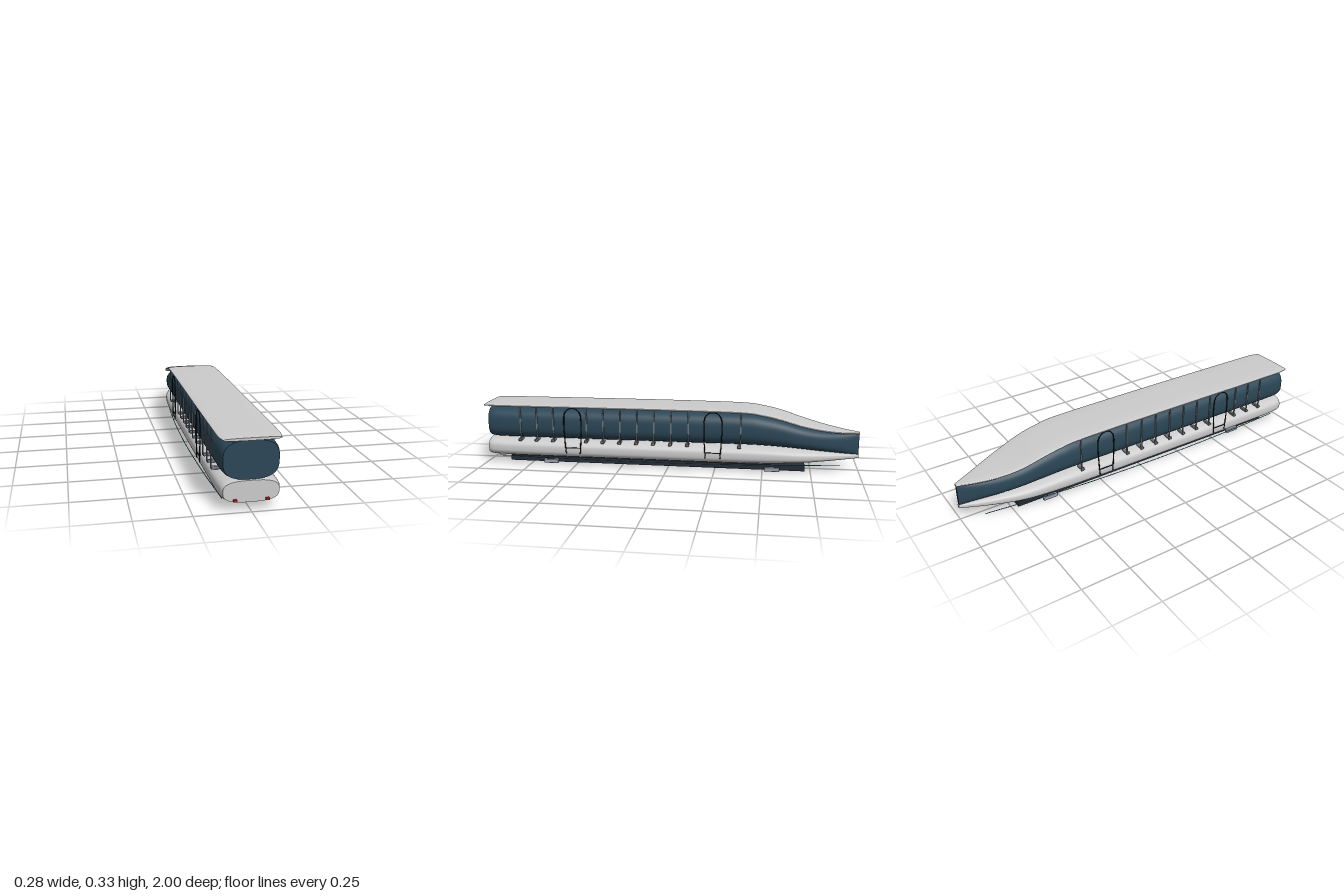
import * as THREE from 'three';
import { RoundedBoxGeometry } from 'three/addons/geometries/RoundedBoxGeometry.js';

const mat = (color, side = THREE.FrontSide) => new THREE.MeshStandardMaterial({ color, side });
const shell = mat(0xcccccc);
const glass = mat(0x2b4656);
const dark = mat(0x282d38);
const metal = mat(0x6f747b);
const black = mat(0x15181c);
const teal = mat(0x1f7f8c);
const red = mat(0xc0281c);
const skidGrey = mat(0x9aa0ac);

// Superellipse loft along z. Each knot: [z, half width, bottom, top]
function loft(knots, power, rings = 90, sides = 56) {
  const low = new THREE.CatmullRomCurve3(knots.map(k => new THREE.Vector3(k[1], k[2], k[0])), false, 'centripetal');
  const low2 = new THREE.CatmullRomCurve3(knots.map(k => new THREE.Vector3(k[1], k[3], k[0])), false, 'catmullrom');
  low.curveType = 'catmullrom';
  const pos = [], index = [];
  const ring = t => {
    const a = low.getPoint(t), b = low2.getPoint(t);
    const cy = (a.y + b.y) / 2, h = (b.y - a.y) / 2;
    for (let j = 0; j < sides; j++) {
      const q = j / sides * Math.PI * 2, c = Math.cos(q), s = Math.sin(q);
      pos.push(a.x * Math.sign(c) * Math.abs(c) ** (2 / power),
        cy + h * Math.sign(s) * Math.abs(s) ** (2 / power), a.z);
    }
    return [cy, a.z];
  };
  for (let i = 0; i <= rings; i++) ring(i / rings);
  for (let i = 0; i < rings; i++) for (let j = 0; j < sides; j++) {
    const k = (j + 1) % sides, a = i * sides, b = a + sides;
    index.push(a + j, a + k, b + j, a + k, b + k, b + j);
  }
  // flat end caps with their own vertices
  for (const t of [0, 1]) {
    const start = pos.length / 3, [cy, z] = ring(t), mid = pos.length / 3;
    pos.push(0, cy, z);
    for (let j = 0; j < sides; j++) {
      const k = (j + 1) % sides;
      if (t) index.push(mid, start + j, start + k);
      else index.push(mid, start + k, start + j);
    }
  }
  const g = new THREE.BufferGeometry();
  g.setAttribute('position', new THREE.Float32BufferAttribute(pos, 3));
  g.setIndex(index);
  g.computeVertexNormals();
  return g;
}

export function createModel() {
  const root = new THREE.Group();
  const add = (name, geo, material, x = 0, y = 0, z = 0) => {
    const m = new THREE.Mesh(geo, material);
    m.name = name;
    m.position.set(x, y, z);
    root.add(m);
    return m;
  };
  const tube = (pts, r, seg = 40) => new THREE.TubeGeometry(
    new THREE.CatmullRomCurve3(pts.map(p => new THREE.Vector3(...p))), seg, r, 6);

  // Lower hull
  add('lowerHull', loft([
    [-1, 0.008, 0.068, 0.088], [-0.9, 0.052, 0.06, 0.1], [-0.8, 0.09, 0.053, 0.112],
    [-0.7, 0.116, 0.046, 0.121], [-0.6, 0.128, 0.041, 0.129], [-0.45, 0.134, 0.036, 0.136],
    [-0.2, 0.136, 0.034, 0.138], [0.2, 0.136, 0.034, 0.138], [0.6, 0.136, 0.034, 0.138],
    [0.85, 0.135, 0.034, 0.138], [0.95, 0.131, 0.036, 0.138], [0.985, 0.122, 0.039, 0.135],
  ], 2.9), shell);

  // Glazed cabin body
  add('glassBody', loft([
    [-0.998, 0.008, 0.083, 0.2], [-0.9, 0.05, 0.095, 0.208], [-0.8, 0.087, 0.107, 0.224],
    [-0.7, 0.112, 0.118, 0.248], [-0.6, 0.123, 0.126, 0.278], [-0.5, 0.128, 0.131, 0.3],
    [-0.38, 0.13, 0.133, 0.312], [0, 0.131, 0.133, 0.314], [0.4, 0.131, 0.133, 0.313],
    [0.8, 0.131, 0.133, 0.312], [0.94, 0.129, 0.134, 0.311], [0.98, 0.121, 0.138, 0.308],
  ], 2.9), glass);

  // Roof shell sweeping down to the pointed end
  add('roof', loft([
    [-1, 0.01, 0.196, 0.208], [-0.9, 0.056, 0.204, 0.219], [-0.8, 0.094, 0.22, 0.237],
    [-0.7, 0.119, 0.243, 0.262], [-0.6, 0.13, 0.273, 0.293], [-0.5, 0.134, 0.296, 0.315],
    [-0.38, 0.136, 0.309, 0.328], [0, 0.137, 0.312, 0.331], [0.4, 0.137, 0.312, 0.33],
    [0.8, 0.136, 0.311, 0.328], [0.94, 0.134, 0.311, 0.327], [1, 0.124, 0.313, 0.325],
  ], 3), shell);

  // Trim line under the roof edge
  add('roofTrim', tube([[-0.1, 0.307, 0.982], [0, 0.31, 0.984], [0.1, 0.307, 0.982]], 0.0015), teal);

  // Undercarriage
  add('underframe', new THREE.BoxGeometry(0.138, 0.029, 1.6), dark, 0, 0.0165, 0.08);
  add('underframeMount', new THREE.BoxGeometry(0.09, 0.02, 1.3), dark, 0, 0.034, 0.1);

  for (const s of [-1, 1]) {
    const side = s > 0 ? 'left' : 'right';

    for (const z of [0.645, -0.55])
      add(side + 'Skid', new RoundedBoxGeometry(0.018, 0.022, 0.08, 2, 0.004), skidGrey, s * 0.088, 0.011, z);

    add(side + 'TailLight', new THREE.BoxGeometry(0.015, 0.01, 0.02), red, s * 0.07, 0.051, 0.987);

    // Thin guide rail along the hull foot
    add(side + 'GuideRail', tube([
      [s * 0.085, 0.045, -0.9], [s * 0.124, 0.041, -0.45], [s * 0.139, 0.039, 0.1],
      [s * 0.129, 0.039, 0.6], [s * 0.112, 0.04, 0.93],
    ], 0.002, 80), teal);

    // Roof posts with foot brackets, leaving gaps for the doors
    for (let i = 0; i < 14; i++) {
      if (i === 3 || i === 11 || i === 12) continue;
      const z = 0.795 - i * 0.0908;
      add(side + 'Post', new THREE.BoxGeometry(0.005, 0.188, 0.007), metal, s * 0.134, 0.224, z);
      add(side + 'PostBracket', new RoundedBoxGeometry(0.05, 0.014, 0.018, 2, 0.004), metal, s * 0.11, 0.135, z + 0.008);
    }

    // Arched door frames
    for (const z of [0.507, -0.242]) {
      const x = s * 0.136;
      add(side + 'DoorFrame', tube([
        [x, 0.07, z + 0.038], [x, 0.13, z + 0.043], [x, 0.24, z + 0.047], [x, 0.29, z + 0.041],
        [x, 0.313, z + 0.018], [x, 0.313, z - 0.018], [x, 0.29, z - 0.041],
        [x, 0.24, z - 0.047], [x, 0.13, z - 0.043], [x, 0.07, z - 0.038],
      ], 0.003, 60), black);
      add(side + 'DoorSill', new THREE.BoxGeometry(0.004, 0.004, 0.082), black, x, 0.1, z);
    }
  }
  return root;
}
